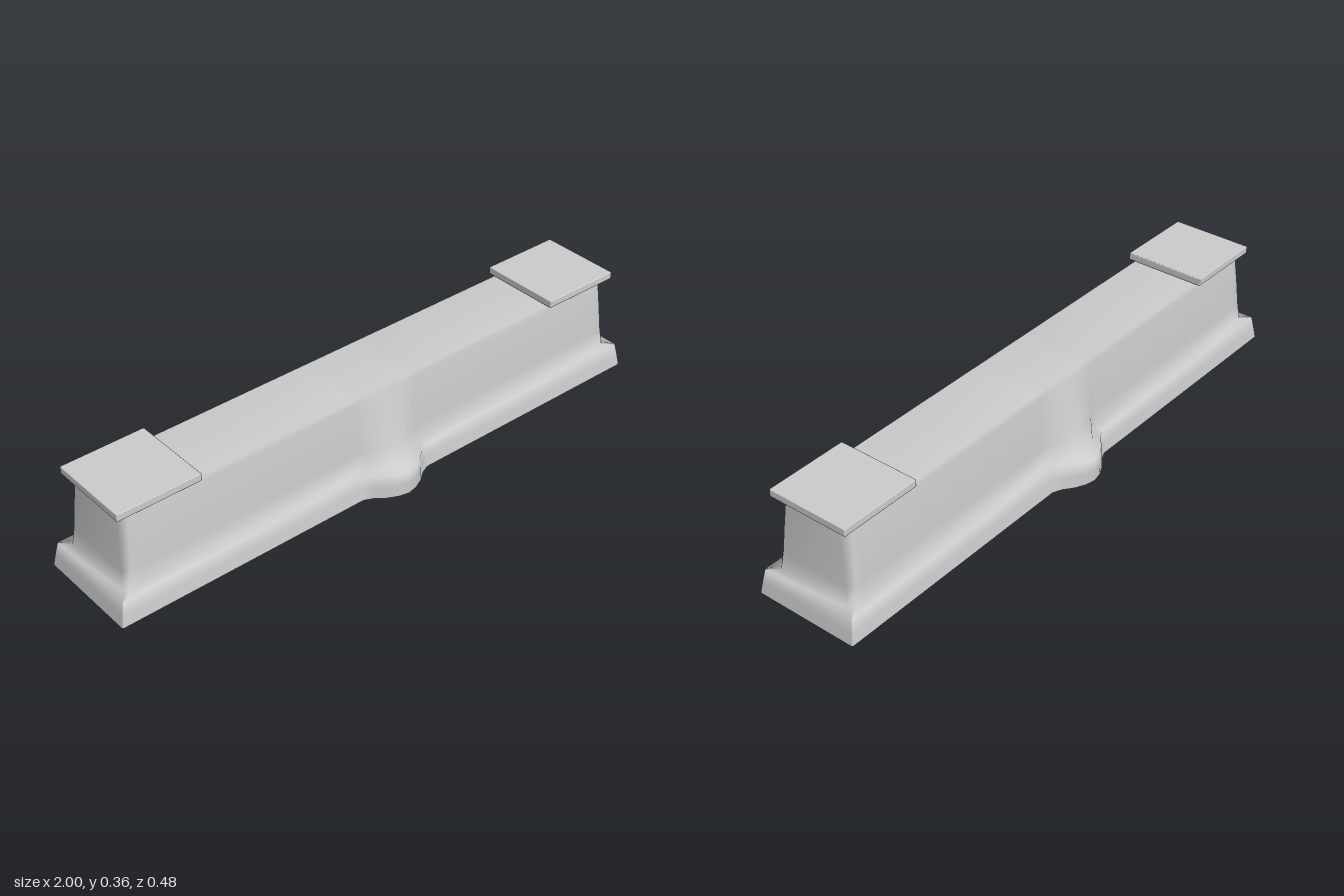
import * as THREE from 'three';
import { RoundedBoxGeometry } from 'three/addons/geometries/RoundedBoxGeometry.js';

// Heights of the wall: y, half length, half width, centre bulge, corner cut
const LEVELS = [
  [0.0, 1.0, 0.178, 0.062, 0.003],
  [0.04, 0.993, 0.173, 0.067, 0.003],
  [0.08, 0.985, 0.167, 0.073, 0.003],
  [0.083, 0.957, 0.14, 0.06, 0.012],
  [0.145, 0.951, 0.137, 0.033, 0.018],
  [0.24, 0.945, 0.13, 0.015, 0.02],
  [0.315, 0.94, 0.122, 0.002, 0.02],
  [0.333, 0.938, 0.118, 0, 0.02],
];
// Centre bulge outline: x, share of the full bulge
const BULGE = [[-0.13, 0], [-0.1, 0.22], [-0.07, 0.6], [-0.035, 0.88], [0, 1],
  [0.035, 0.88], [0.07, 0.6], [0.1, 0.22], [0.13, 0]];

// One closed outline: front side left to right, then the back side mirrored
function ring([y, len, wid, bulge, cut]) {
  const front = [
    [-len, wid - cut], [-len + cut, wid], [-0.9, wid], [-0.65, wid], [-0.35, wid],
    ...BULGE.map(([x, k]) => [x, wid + bulge * k]),
    [0.35, wid], [0.65, wid], [0.9, wid], [len - cut, wid], [len, wid - cut],
  ];
  const back = front.map(([x, z]) => [x, -z]).reverse();
  return [...front, ...back].map(([x, z]) => [x, y, z]);
}

// Hollow shell, open below, closed by a flat top
function shellGeometry() {
  const rings = LEVELS.map(ring);
  const n = rings[0].length;
  const index = [];
  for (let r = 0; r < rings.length - 1; r++) {
    for (let i = 0; i < n; i++) {
      const a = r * n + i, b = r * n + (i + 1) % n;
      index.push(a, b, b + n, a, b + n, a + n);
    }
  }
  const top = (rings.length - 1) * n;
  for (let i = 0; i < n / 2 - 1; i++) {
    const a = top + i, b = a + 1, c = top + n - 2 - i, d = c + 1;
    index.push(a, b, c, a, c, d);
  }
  const geo = new THREE.BufferGeometry();
  geo.setAttribute('position', new THREE.Float32BufferAttribute(rings.flat(2), 3));
  geo.setIndex(index);
  geo.computeVertexNormals();
  return geo;
}

export function createModel() {
  const group = new THREE.Group();
  const material = new THREE.MeshStandardMaterial({ color: 0xcccccc, side: THREE.DoubleSide });

  const wall = new THREE.Mesh(shellGeometry(), material);
  wall.name = 'wallBody';
  group.add(wall);

  // Cap slabs on both ends
  for (const side of [-1, 1]) {
    const cap = new THREE.Mesh(new RoundedBoxGeometry(0.28, 0.025, 0.28, 2, 0.003), material);
    cap.name = side > 0 ? 'leftCapSlab' : 'rightCapSlab';
    cap.position.set(side * 0.82, 0.346, 0);
    group.add(cap);
  }
  return group;
}
